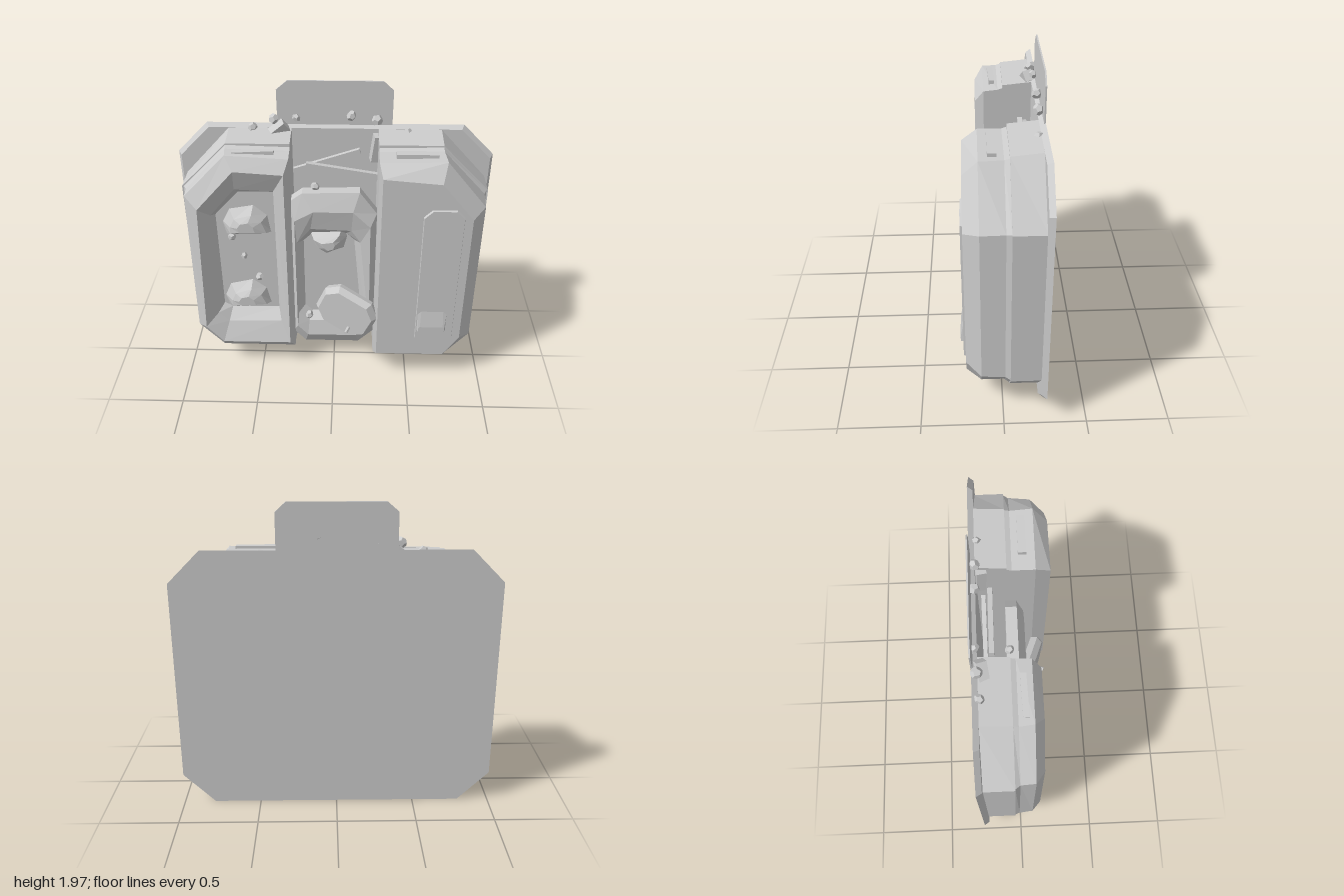
import * as THREE from 'three';

const grey = new THREE.MeshStandardMaterial({ color: 0xcccccc, flatShading: true });
grey.name = 'plain grey';

// Skin a stack of equal-length outlines [z, [[x, y], ...]], ordered anticlockwise seen from the front
function loft(rings) {
  const pos = [];
  const pt = (r, i) => { const p = r[1][i % r[1].length]; return [p[0], p[1], p[2] ?? r[0]]; };
  const n = rings[0][1].length;
  for (let k = 0; k + 1 < rings.length; k++) {
    const a = rings[k], b = rings[k + 1];
    for (let i = 0; i < n; i++) {
      pos.push(...pt(a, i), ...pt(a, i + 1), ...pt(b, i + 1));
      pos.push(...pt(a, i), ...pt(b, i + 1), ...pt(b, i));
    }
  }
  const first = rings[0], last = rings[rings.length - 1];
  for (let i = 1; i + 1 < n; i++) {
    pos.push(...pt(first, 0), ...pt(first, i + 1), ...pt(first, i));
    pos.push(...pt(last, 0), ...pt(last, i), ...pt(last, i + 1));
  }
  const g = new THREE.BufferGeometry();
  g.setAttribute('position', new THREE.Float32BufferAttribute(pos, 3));
  g.computeVertexNormals();
  return g;
}

// Rectangle with cut corners
function octagon(x0, x1, y0, y1, c, d = c) {
  return [[x1, y0 + d], [x1, y1 - d], [x1 - c, y1], [x0 + c, y1],
    [x0, y1 - d], [x0, y0 + d], [x0 + c, y0], [x1 - c, y0]];
}

// Mirror an outline in x while keeping its winding
const mirror = (pts) => pts.map(([x, y]) => [-x, y]).reverse();

export function createModel() {
  const model = new THREE.Group();
  const add = (name, geometry, p = [0, 0, 0], r = [0, 0, 0], s = [1, 1, 1]) => {
    const m = new THREE.Mesh(geometry, grey);
    m.name = name;
    m.position.set(...p);
    m.rotation.set(...r);
    m.scale.set(...s);
    model.add(m);
    return m;
  };
  const box = (name, size, p, r) => add(name, new THREE.BoxGeometry(...size), p, r);

  // Back plate with bevelled rim and upper tab
  add('backPlate', loft([
    [-0.255, octagon(-1, 1, 0, 1.69, 0.2)],
    [-0.222, octagon(-0.98, 0.98, 0.02, 1.67, 0.195)],
  ]));
  add('topTab', loft([-0.255, -0.246].map((z) => [z,
    [[0.355, 1.5], [0.355, 1.91], [0.29, 1.97], [-0.29, 1.97], [-0.36, 1.91], [-0.36, 1.5]]])));

  // Rear halves of both side pods
  const rear = [[0.27, 0.11], [0.78, 0.11], [0.955, 0.31], [0.955, 1.35], [0.66, 1.67], [0.27, 1.67]];
  const rearFront = [[0.27, 0.11], [0.78, 0.11], [0.955, 0.31], [0.955, 1.35], [0.66, 1.65], [0.27, 1.65]];
  add('podRearLeft', loft([[-0.23, rear], [-0.04, rearFront]]));
  add('podRearRight', loft([[-0.23, mirror(rear)], [-0.04, mirror(rearFront)]]));

  // Closed pod front
  add('closedPod', loft([
    [-0.04, [[0.27, 0.12], [0.78, 0.12], [0.945, 0.31], [0.945, 1.35], [0.66, 1.64], [0.27, 1.63]]],
    [-0.01, [[0.27, 0.14], [0.77, 0.14], [0.93, 0.32], [0.93, 1.34], [0.66, 1.63], [0.27, 1.62]]],
    [0.13, [[0.27, 0.14], [0.77, 0.14], [0.92, 0.32], [0.92, 1.33], [0.67, 1.63], [0.27, 1.62]]],
    [0.22, [[0.29, 0.205], [0.74, 0.205], [0.84, 0.36], [0.84, 1.29], [0.64, 1.53], [0.29, 1.56]]],
  ]));

  // Door panel and its latch
  add('doorPanel', loft([
    [0.215, octagon(0.54, 0.79, 0.31, 1.36, 0.05)],
    [0.233, octagon(0.545, 0.785, 0.315, 1.355, 0.05)],
  ]));
  add('latch', loft([
    [0.23, octagon(0.55, 0.74, 0.41, 0.61, 0.025)],
    [0.25, octagon(0.56, 0.73, 0.42, 0.47, 0.01)],
  ]));

  // Broken-open pod front with a deep hollow
  add('openPod', loft([
    [-0.04, [[-0.27, 0.12], [-0.27, 1.63], [-0.66, 1.64], [-0.945, 1.35], [-0.95, 0.31], [-0.78, 0.12]]],
    [-0.01, [[-0.27, 0.14], [-0.27, 1.62], [-0.66, 1.63], [-0.925, 1.35], [-0.94, 0.32], [-0.77, 0.13]]],
    [0.08, [[-0.27, 0.14], [-0.27, 1.61], [-0.65, 1.63], [-0.92, 1.35], [-0.93, 0.32], [-0.77, 0.14]]],
    [0.135, [[-0.30, 0.21], [-0.30, 1.53], [-0.6, 1.55], [-0.84, 1.28], [-0.87, 0.34], [-0.76, 0.21]]],
    [0.08, [[-0.36, 0.36], [-0.37, 1.39], [-0.61, 1.40], [-0.77, 1.21], [-0.79, 0.42], [-0.72, 0.35]]],
    [0, [[-0.38, 0.42], [-0.38, 1.34], [-0.6, 1.34], [-0.755, 1.17], [-0.755, 0.45], [-0.7, 0.42]]],
  ]));

  // Middle shell with its own hollow
  add('middleShell', loft([
    [-0.055, [[0.27, 0.22], [0.27, 1.2], [0.16, 1.35], [-0.2, 1.34], [-0.28, 1.28], [-0.28, 0.2], [-0.2, 0.11], [0.17, 0.11]]],
    [0.015, [[0.28, 0.24], [0.27, 1.2], [0.16, 1.35], [-0.2, 1.34], [-0.28, 1.28], [-0.28, 0.22], [-0.2, 0.13], [0.17, 0.13]]],
    [0.06, [[0.24, 0.32], [0.23, 1.12], [0.12, 1.23], [-0.13, 1.23], [-0.25, 1.16], [-0.25, 0.3], [-0.18, 0.22], [0.15, 0.22]]],
    [0.035, [[0.22, 0.38], [0.17, 0.99], [0.11, 1.08], [-0.15, 1.09], [-0.24, 0.98], [-0.24, 0.4], [-0.17, 0.33], [0.15, 0.33]]],
    [-0.03, [[0.18, 0.42], [0.13, 0.97], [0.08, 1.02], [-0.14, 1.02], [-0.2, 0.96], [-0.2, 0.42], [-0.15, 0.37], [0.13, 0.37]]],
  ]));

  // Fallen lid with knob
  const lid = new THREE.Group();
  lid.name = 'fallenLid';
  const lidBody = new THREE.Mesh(loft([
    [-0.045, octagon(-0.19, 0.19, -0.15, 0.15, 0.07)],
    [0, octagon(-0.2, 0.2, -0.165, 0.165, 0.08)],
    [0.04, octagon(-0.175, 0.175, -0.14, 0.14, 0.07)],
  ]), grey);
  lidBody.name = 'lidBody';
  const knob = new THREE.Mesh(new THREE.CylinderGeometry(0.014, 0.014, 0.06, 6), grey);
  knob.name = 'lidKnob';
  knob.rotation.x = Math.PI / 2;
  knob.position.set(0.07, -0.09, 0.065);
  lid.add(lidBody, knob);
  lid.position.set(0.085, 0.48, 0.11);
  lid.rotation.set(0, -0.33, -0.4);
  model.add(lid);

  // Vents on the tops and undersides of the pods
  box('ventTop', [0.25, 0.03, 0.035], [-0.485, 1.625, 0.03], [0, 0.03, 0.03]);
  box('ventTop', [0.25, 0.03, 0.05], [0.495, 1.635, 0.055]);
  for (const x of [-0.5, 0.5]) box('ventBottom', [0.25, 0.03, 0.07], [x, 0.125, 0.005]);

  // Crossed boards in the upper gap
  box('board', [0.44, 0.04, 0.025], [-0.05, 1.465, -0.18], [0, 0, 0.33]);
  box('board', [0.47, 0.04, 0.03], [0.05, 1.415, -0.145], [0, 0, -0.16]);
  box('brokenPost', [0.1, 0.18, 0.06], [0.28, 1.55, -0.2], [0.1, 0.2, -0.12]);
  box('brokenPost', [0.12, 0.07, 0.06], [-0.35, 1.665, -0.2], [0.2, 0.3, 0.6]);

  // Large rubble: flat-based chunks
  const chunk = loft([
    [0, [[0.16, -0.08], [0.14, 0.05], [0.05, 0.13], [-0.11, 0.1], [-0.16, 0], [-0.14, -0.1]]],
    [0.07, [[0.13, -0.05], [0.1, 0.03], [0.04, 0.08], [-0.07, 0.05], [-0.1, -0.01], [-0.1, -0.06]]],
    [0.1, [[0.06, -0.03], [0.05, 0.01], [0.02, 0.04], [-0.03, 0.03], [-0.05, 0], [-0.04, -0.03]]],
  ]);
  add('chunk', chunk, [-0.56, 1.12, -0.01], [0, 0, 0]);
  add('chunk', chunk, [-0.59, 0.53, -0.01], [0, 0, 0.06]);
  add('chunk', chunk, [-0.03, 0.98, -0.03], [0, 0, 3.3], [0.72, 0.85, 1]);

  // Small rubble
  const pebble = new THREE.DodecahedronGeometry(1, 0);
  [[-0.66, 1.01, 0.015, 0.028], [-0.59, 0.86, 0.015, 0.024], [-0.5, 0.69, 0.015, 0.028],
    [-0.17, 0.37, 0.02, 0.03], [-0.12, 1.36, -0.04, 0.03],
    [-0.38, 1.73, -0.225, 0.036], [-0.51, 1.675, -0.215, 0.032], [-0.24, 1.735, -0.23, 0.028],
    [0.1, 1.755, -0.225, 0.034], [0.26, 1.73, -0.22, 0.036], [0.45, 1.655, -0.21, 0.032],
  ].forEach(([x, y, z, s], i) => add('pebble', pebble, [x, y, z], [i, i * 1.7, i * 0.6], [s, s, s * 0.85]));

  return model;
}
